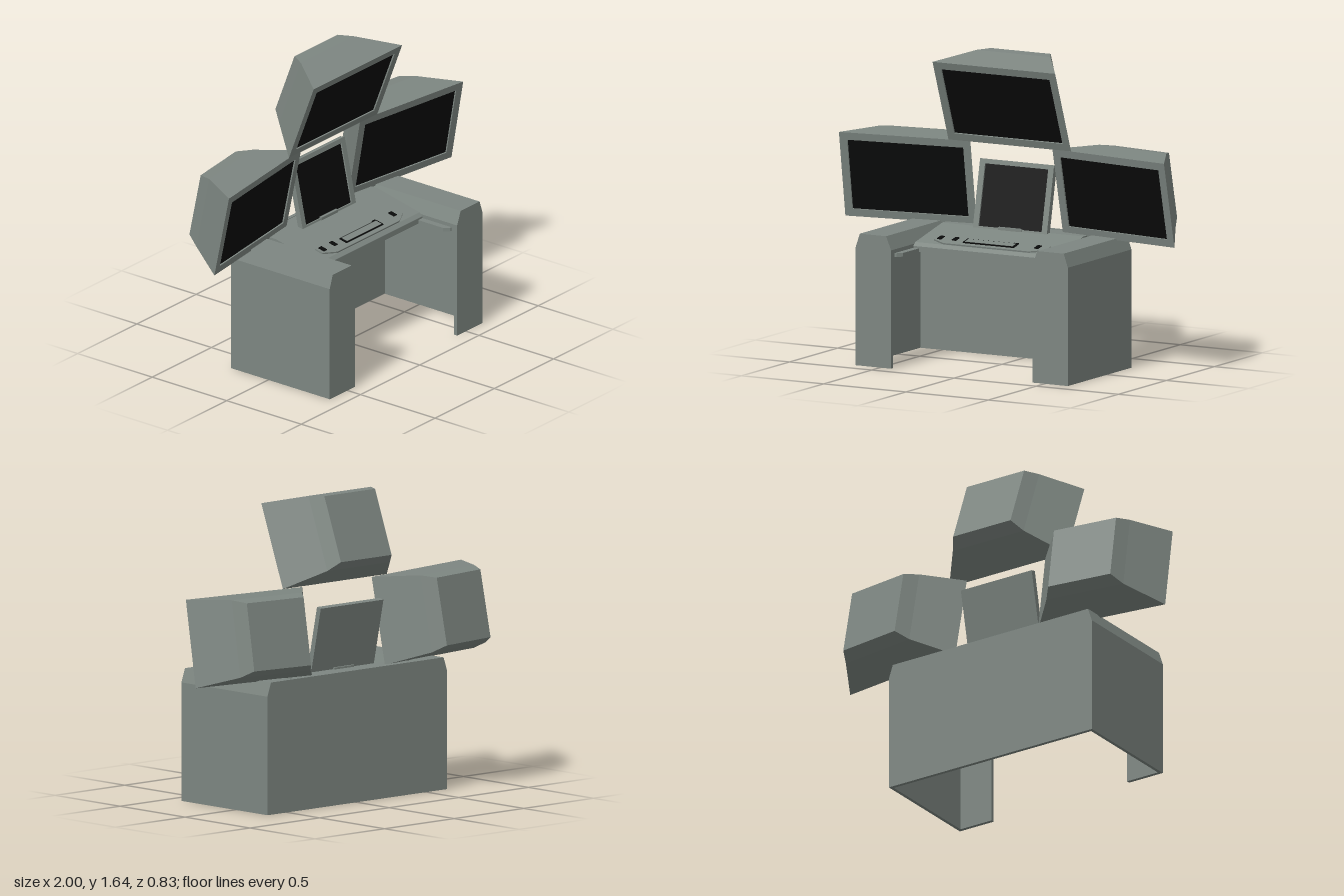
import * as THREE from 'three';

const grey = new THREE.MeshStandardMaterial({ color: 0x7d8681 });
grey.name = 'console grey';
const black = new THREE.MeshStandardMaterial({ color: 0x090a0a });
black.name = 'screen black';

function add(parent, name, geometry, material, x = 0, y = 0, z = 0) {
  const mesh = new THREE.Mesh(geometry, material);
  mesh.name = name;
  mesh.position.set(x, y, z);
  parent.add(mesh);
  return mesh;
}

function extrude(points, depth) {
  const shape = new THREE.Shape(points.map(([x, y]) => new THREE.Vector2(x, y)));
  return new THREE.ExtrudeGeometry(shape, { depth, bevelEnabled: false });
}

// Rectangular rings [halfWidth, halfHeight, z], skinned in order and capped at the back
function loftRings(rings) {
  const pos = [];
  const corners = rings.map(([w, h, z]) => [[-w, -h, z], [w, -h, z], [w, h, z], [-w, h, z]]);
  const quad = (a, b, c, d) => pos.push(...a, ...b, ...c, ...a, ...c, ...d);
  for (let r = 0; r < rings.length - 1; r++) {
    for (let i = 0; i < 4; i++) {
      const j = (i + 1) % 4;
      quad(corners[r][i], corners[r + 1][i], corners[r + 1][j], corners[r][j]);
    }
  }
  const [a, b, c, d] = corners[rings.length - 1];
  quad(a, d, c, b);
  const geometry = new THREE.BufferGeometry();
  geometry.setAttribute('position', new THREE.Float32BufferAttribute(pos, 3));
  geometry.computeVertexNormals();
  return geometry;
}

// Housing with a slightly recessed screen; origin at the centre of the front face
function makeMonitor(name, halfW, halfH, bezelX, bezelY, backRings) {
  const monitor = new THREE.Group();
  monitor.name = name;
  const w = halfW - bezelX, h = halfH - bezelY, recess = 0.008;
  add(monitor, 'housing', loftRings([[w, h, -recess], [w, h, 0], [halfW, halfH, 0], ...backRings]), grey);
  add(monitor, 'screen', new THREE.PlaneGeometry(2 * w, 2 * h), black, 0, 0, -recess);
  return monitor;
}

const deg = THREE.MathUtils.degToRad;

export function createModel() {
  const model = new THREE.Group();
  model.name = 'controlConsole';

  // Desk shell, open underneath
  const desk = new THREE.Group();
  desk.name = 'desk';
  desk.position.x = -0.004;
  model.add(desk);

  const backOutline = [[-0.645, 0], [0.645, 0], [0.645, 0.63], [0.62, 0.703], [-0.62, 0.703], [-0.645, 0.63]];
  add(desk, 'backPanel', extrude(backOutline, 0.02), grey, 0, 0, -0.25);

  // Sloping desktop, profile drawn as (-z, y)
  const topProfile = [[0.235, 0.70], [0.12, 0.70], [-0.16, 0.638], [-0.18, 0.62], [-0.18, 0.59], [0.235, 0.59]];
  add(desk, 'slopedDesktop', extrude(topProfile, 0.86).rotateY(Math.PI / 2), grey, -0.43);

  // Arms: outer wall and chamfered top in one bent sheet, closed by a front plate
  const armProfile = [[0.645, 0], [0.645, 0.63], [0.62, 0.703], [0.46, 0.703], [0.43, 0.63], [0.43, 0.59],
    [0.445, 0.59], [0.445, 0.625], [0.47, 0.685], [0.61, 0.685], [0.627, 0.625], [0.627, 0]];
  const plateProfile = [[0.43, 0], [0.645, 0], [0.645, 0.63], [0.62, 0.703], [0.46, 0.703], [0.43, 0.63]];
  for (const side of [1, -1]) {
    const label = side > 0 ? 'left' : 'right';
    const mirror = (pts) => pts.map(([x, y]) => [x * side, y]);
    add(desk, label + 'Arm', extrude(mirror(armProfile), 0.625), grey, 0, 0, -0.23);
    add(desk, label + 'ArmFront', extrude(mirror(plateProfile), 0.02), grey, 0, 0, 0.392);
    // Narrow ledge along the inside of the arm, with a cut front corner
    const ledge = mirror([[0.44, -0.17], [0.395, -0.17], [0.395, -0.345], [0.42, -0.375], [0.44, -0.375]]);
    add(desk, label + 'ArmLedge', extrude(ledge, 0.02).rotateX(-Math.PI / 2), grey, 0, 0.59, 0);
  }

  // Control panel lying on the slope
  const panel = new THREE.Group();
  panel.name = 'controlPanel';
  panel.position.set(0, 0.652, 0.1);
  panel.rotation.x = Math.atan2(0.062, 0.28);
  desk.add(panel);
  const tray = [[-0.26, -0.06], [0.26, -0.06], [0.34, -0.02], [0.34, 0.03], [-0.34, 0.03], [-0.34, -0.02]];
  add(panel, 'tray', extrude(tray, 0.008).rotateX(-Math.PI / 2), grey);
  add(panel, 'keyboardBase', new THREE.BoxGeometry(0.31, 0.006, 0.05), black, 0, 0.011, 0.01);
  add(panel, 'keyboardTop', new THREE.BoxGeometry(0.29, 0.004, 0.038), grey, 0, 0.014, 0.01);
  for (const x of [-0.31, -0.22, 0.14, 0.28]) {
    add(panel, 'switchStrip', new THREE.BoxGeometry(0.025, 0.006, 0.04), black, x, 0.01, -0.004);
  }

  // Three large display housings tapering to the back
  const taper = [[0.225, 0.205, -0.207], [0.182, 0.18, -0.28]];
  const largeMonitor = (name, x, y, z, pitch, yaw) => {
    const monitor = makeMonitor(name, 0.373, 0.234, 0.044, 0.041, taper);
    monitor.position.set(x, y, z);
    monitor.rotation.set(deg(pitch), deg(yaw), 0, 'YXZ');
    model.add(monitor);
  };
  largeMonitor('upperMonitor', 0, 1.373, 0.002, 20.8, 0);
  largeMonitor('leftMonitor', 0.625, 0.924, -0.09, 11, -8);
  largeMonitor('rightMonitor', -0.625, 0.924, -0.09, 11, 8);

  // Flat centre display leaning back on a short foot
  const centre = makeMonitor('centreMonitor', 0.225, 0.19, 0.033, 0.025, [[0.225, 0.19, -0.03]]);
  centre.position.set(-0.01, 0.867, -0.135);
  centre.rotation.x = deg(-12);
  model.add(centre);
  add(model, 'centreMonitorFoot', new THREE.BoxGeometry(0.14, 0.03, 0.05), grey, -0.01, 0.695, -0.12);

  return model;
}
